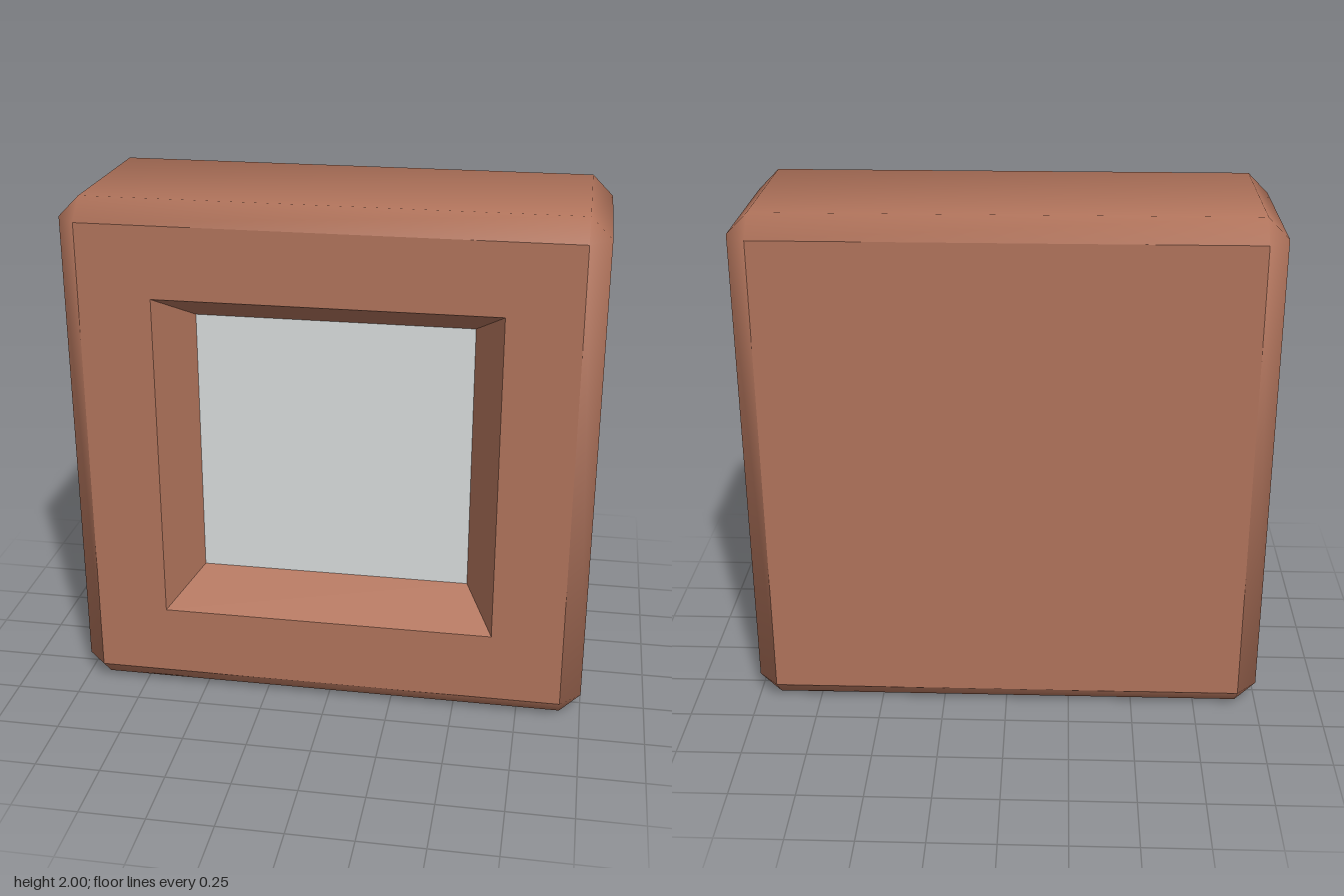
import * as THREE from 'three';

const HALF = 1, DEPTH = 0.4, BEVEL = 0.08;
const INNER = HALF - BEVEL;
const HOLE = 0.645, PANE = 0.53, PANE_Z = 0.2;

function squarePath(path, h) {
  path.moveTo(-h, -h);
  path.lineTo(h, -h);
  path.lineTo(h, h);
  path.lineTo(-h, h);
  path.closePath();
  return path;
}

// Eight corners of a square with cut corners, anticlockwise; a equals b gives a plain square
function ring(a, b) {
  return [[a, -b], [a, b], [b, a], [-b, a], [-a, b], [-a, -b], [-b, -a], [b, -a]];
}

// Rounded outer wall: four rings from front to back, with softly blended normals
function sideGeometry() {
  const layers = [
    { z: DEPTH, a: INNER, n: [1, 1, 1.65] },
    { z: DEPTH - BEVEL, a: HALF, n: [2.55, 1, 1] },
    { z: BEVEL - DEPTH, a: HALF, n: [2.55, 1, -1] },
    { z: -DEPTH, a: INNER, n: [1, 1, -1.65] },
  ];
  const pos = [], nor = [], idx = [];
  layers.forEach(({ z, a, n }, j) => {
    const points = ring(a, INNER), normals = ring(n[0], n[1]);
    points.forEach((p, i) => {
      pos.push(p[0], p[1], z);
      nor.push(...new THREE.Vector3(normals[i][0], normals[i][1], n[2]).normalize().toArray());
      if (j === 3) return;
      const k = j * 8 + i, m = j * 8 + (i + 1) % 8;
      // the short corner steps collapse to one point on the end rings
      if (!(j === 0 && i % 2)) idx.push(k, k + 8, m);
      if (j === 0 || j === 1 || !(i % 2)) idx.push(m, k + 8, m + 8);
      else idx.push(m, k + 8, m + 8);
    });
  });
  const g = new THREE.BufferGeometry();
  g.setAttribute('position', new THREE.Float32BufferAttribute(pos, 3));
  g.setAttribute('normal', new THREE.Float32BufferAttribute(nor, 3));
  g.setIndex(idx);
  return g;
}

// One sloping wall of the recess (the lower one; the others are turned copies)
function revealGeometry() {
  const g = new THREE.BufferGeometry();
  g.setAttribute('position', new THREE.Float32BufferAttribute([
    -HOLE, -HOLE, DEPTH, HOLE, -HOLE, DEPTH, PANE, -PANE, PANE_Z, -PANE, -PANE, PANE_Z,
  ], 3));
  g.setIndex([0, 1, 2, 0, 2, 3]);
  g.computeVertexNormals();
  return g;
}

export function createModel() {
  const model = new THREE.Group();
  model.name = 'windowBlock';
  const clay = new THREE.MeshStandardMaterial({ name: 'clay', color: 0xb0735b });
  const glass = new THREE.MeshStandardMaterial({ name: 'paleGlass', color: 0xd8dcdc });
  const add = (name, geometry, material) => {
    const mesh = new THREE.Mesh(geometry, material);
    mesh.name = name;
    mesh.position.y = HALF;
    model.add(mesh);
    return mesh;
  };

  add('outerWall', sideGeometry(), clay);

  // Front face with a square opening
  const face = squarePath(new THREE.Shape(), INNER);
  face.holes.push(squarePath(new THREE.Path(), HOLE));
  add('frontFace', new THREE.ShapeGeometry(face), clay).position.z = DEPTH;

  // Plain back
  const back = add('backFace', new THREE.PlaneGeometry(INNER * 2, INNER * 2), clay);
  back.position.z = -DEPTH;
  back.rotation.y = Math.PI;

  // Recess walls and the pane at their inner end
  const reveal = revealGeometry();
  for (let i = 0; i < 4; i++) add('recessWall' + (i + 1), reveal, clay).rotation.z = i * Math.PI / 2;
  add('pane', new THREE.PlaneGeometry(PANE * 2, PANE * 2), glass).position.z = PANE_Z;

  return model;
}
